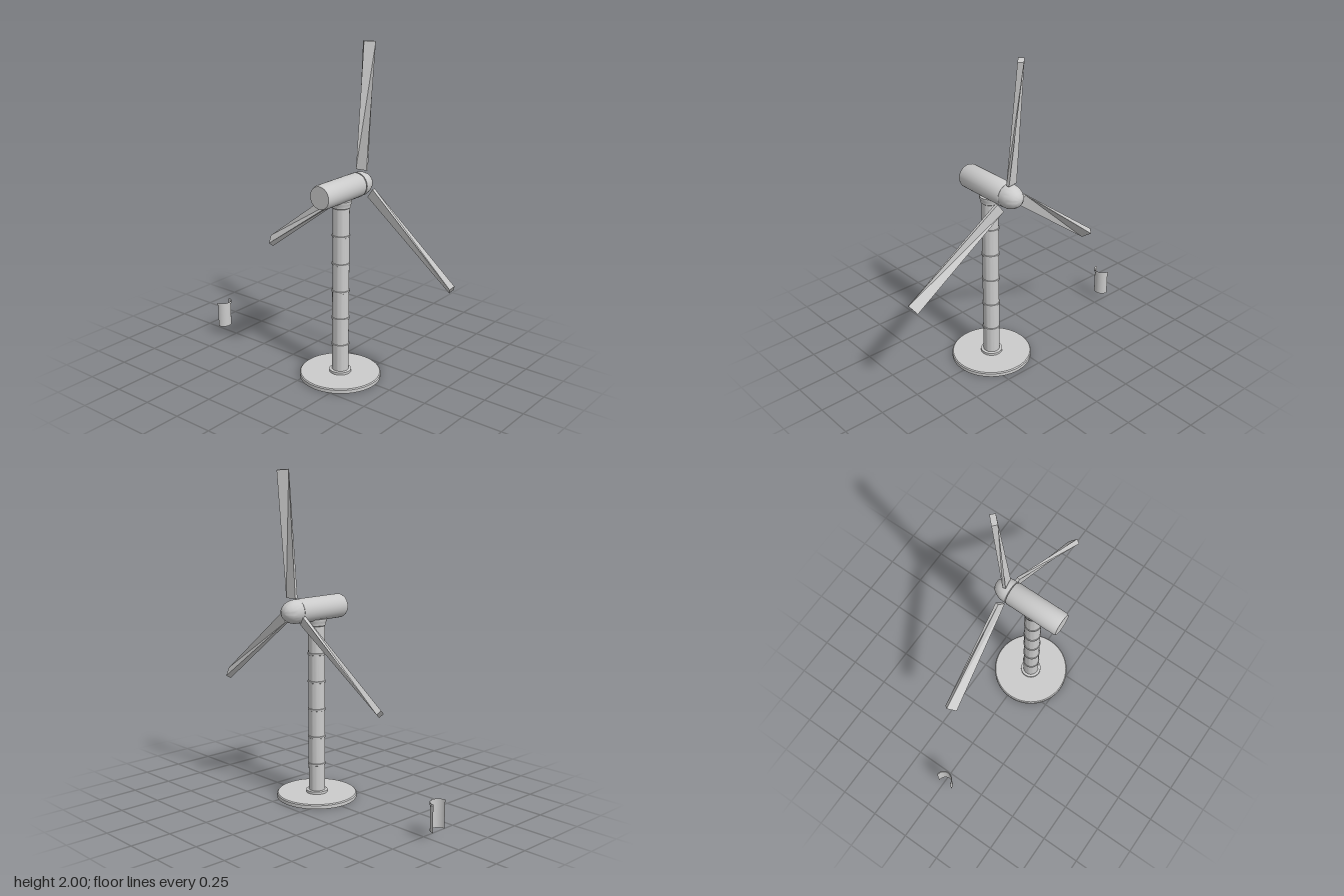
import * as THREE from 'three';
import { toCreasedNormals } from 'three/addons/utils/BufferGeometryUtils.js';

const grey = new THREE.MeshStandardMaterial({ color: 0xcccccc });
const greyFlat = new THREE.MeshStandardMaterial({ color: 0xcccccc, flatShading: true });
const greyOpen = new THREE.MeshStandardMaterial({ color: 0xcccccc, side: THREE.DoubleSide });

const TOWER_X = -0.024, TOWER_Z = 0.15, AXIS_Y = 1.173;

function add(parent, name, geometry, material = grey) {
  const mesh = new THREE.Mesh(geometry, material);
  mesh.name = name;
  parent.add(mesh);
  return mesh;
}

// Turned solid from [radius, height] pairs, listed bottom to top
function turned(profile, segments = 40) {
  const points = profile.map(([r, y]) => new THREE.Vector2(r, y));
  return toCreasedNormals(new THREE.LatheGeometry(points, segments), 0.6);
}

// Tapered, twisted bar that starts at y = 0 and runs up +y
function bladeGeometry(length) {
  const geometry = new THREE.BoxGeometry(1, 1, 1);
  const pos = geometry.attributes.position;
  for (let i = 0; i < pos.count; i++) {
    const t = pos.getY(i) + 0.5;
    const thick = pos.getX(i) * (0.02 + 0.014 * t);
    const wide = pos.getZ(i) * 0.068;
    const a = 0.17 + 0.62 * t;
    pos.setXYZ(i,
      thick * Math.cos(a) + wide * Math.sin(a),
      t * length,
      -thick * Math.sin(a) + wide * Math.cos(a));
  }
  geometry.computeVertexNormals();
  return geometry;
}

export function createModel() {
  const model = new THREE.Group();
  model.name = 'windTurbine';

  // Base and tower
  const tower = new THREE.Group();
  tower.name = 'tower';
  tower.position.set(TOWER_X, 0, TOWER_Z);
  model.add(tower);
  add(tower, 'base', turned([[0, 0], [0.246, 0], [0.246, 0.021], [0.24, 0.027], [0, 0.027]], 64));
  add(tower, 'baseCollar', turned([[0.066, 0.027], [0.066, 0.042], [0.05, 0.044]]));
  add(tower, 'mast', turned([[0.05, 0.04], [0.05, 1.07], [0.056, 1.075], [0.056, 1.09], [0.062, 1.1], [0.062, 1.115], [0, 1.115]]));
  for (let i = 0; i < 5; i++) {
    const y = 0.21 + i * 0.1725;
    add(tower, 'mastRing', turned([
      [0.05, y - 0.007], [0.054, y - 0.005], [0.054, y + 0.005], [0.05, y + 0.007]]));
  }

  // Nacelle and nose, both turned about the x axis
  const head = new THREE.Group();
  head.name = 'head';
  head.position.set(0, AXIS_Y, TOWER_Z);
  head.rotation.z = -Math.PI / 2;
  model.add(head);
  add(head, 'nacelle', turned([
    [0, -0.222], [0.067, -0.222], [0.073, -0.208], [0.073, 0.12], [0.069, 0.127], [0, 0.127]]));
  add(head, 'nose', turned([
    [0, 0.131], [0.071, 0.131], [0.071, 0.155], [0.067, 0.178], [0.058, 0.2],
    [0.043, 0.221], [0.024, 0.234], [0, 0.239]]));

  // Rotor: leaning plane with three blades, [root y, root z, turn about x]
  const rotor = new THREE.Group();
  rotor.name = 'rotor';
  rotor.position.set(0.16, AXIS_Y, TOWER_Z);
  rotor.rotation.z = -0.09;
  model.add(rotor);
  const blade = bladeGeometry(0.745);
  for (const [y, z, turn] of [[0.083, 0.003, -0.01], [-0.042, 0.08, 2.21], [-0.042, -0.08, -2.23]]) {
    const mesh = add(rotor, 'blade', blade, greyFlat);
    mesh.position.set(0, y, z);
    mesh.rotation.x = turn;
  }

  // Loose half-round cover standing apart behind the tower
  const cover = new THREE.Group();
  cover.name = 'looseCover';
  cover.position.set(TOWER_X, 0, -0.838);
  model.add(cover);
  const half = (r, h) => new THREE.CylinderGeometry(r, r, h, 24, 1, true, -Math.PI / 2, Math.PI);
  add(cover, 'coverWall', half(0.049, 0.165), greyOpen).position.y = 0.136;
  add(cover, 'coverRim', half(0.054, 0.013), greyOpen).position.y = 0.214;
  const lip = add(cover, 'coverLip', new THREE.RingGeometry(0.049, 0.054, 24, 1, Math.PI, Math.PI), greyOpen);
  lip.rotation.x = -Math.PI / 2;
  lip.position.y = 0.2075;

  return model;
}
